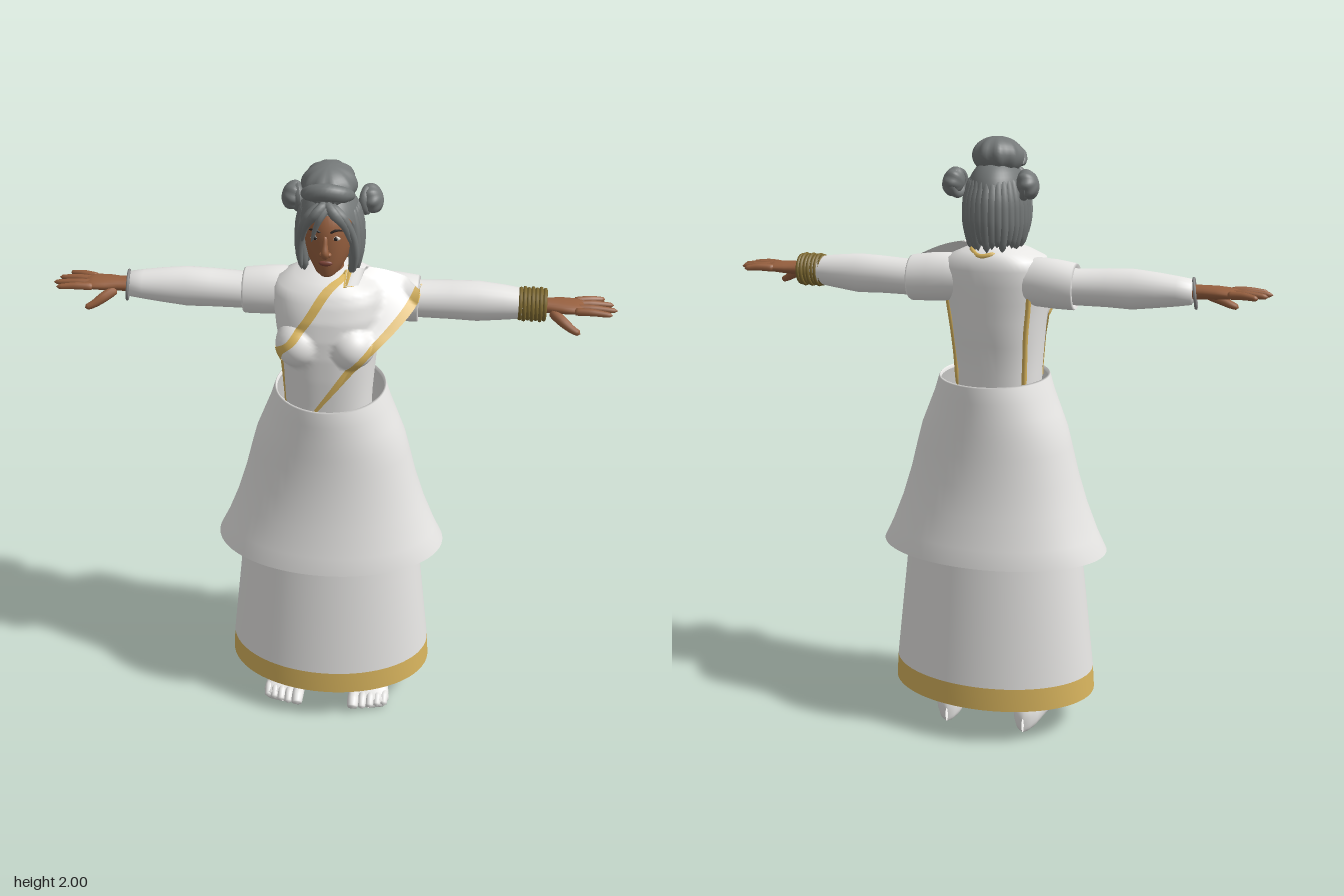
import * as THREE from 'three';

const mat = (name, color, side = THREE.FrontSide) => {
  const m = new THREE.MeshStandardMaterial({ color, side });
  m.name = name;
  return m;
};
const V = (x, y, z) => new THREE.Vector3(x, y, z);
const spow = (c, p) => Math.sign(c) * Math.abs(c) ** (2 / p);
const lerp = THREE.MathUtils.lerp;

// Skin over rings of points that run anticlockwise around the direction of travel
function loft(rings, closed = true) {
  const n = rings[0].length, pos = [], idx = [];
  rings.forEach(r => r.forEach(p => pos.push(p.x, p.y, p.z)));
  for (let i = 0; i < rings.length - 1; i++)
    for (let j = 0; j < (closed ? n : n - 1); j++) {
      const a = i * n + j, b = i * n + (j + 1) % n;
      idx.push(a, b, a + n, b, b + n, a + n);
    }
  const g = new THREE.BufferGeometry();
  g.setAttribute('position', new THREE.Float32BufferAttribute(pos, 3));
  g.setIndex(idx);
  g.computeVertexNormals();
  return g;
}
const ring = (n, f) => Array.from({ length: n }, (_, j) => f(j / n * Math.PI * 2));

// Stack of level ovals: rows of [y, half width, front z, back z], from the bottom up
const ovalPoint = ([y, a, zf, zb], t, p) =>
  V(a * spow(Math.sin(t), p), y, (zf + zb) / 2 + (zf - zb) / 2 * spow(Math.cos(t), p));
const stack = (rows, p = 2, n = 48) => loft(rows.map(r => ring(n, t => ovalPoint(r, t, p))));
// Ovals along x: rows of [x, centre y, centre z, y radius, z radius]
const along = (rows, n = 24) =>
  loft(rows.map(([x, cy, cz, ry, rz]) => ring(n, t => V(x, cy + ry * Math.cos(t), cz + rz * Math.sin(t)))));

// Tapered tube with rounded ends
function strand(points, radii, sides = 8, n = 14) {
  const c = new THREE.CatmullRomCurve3(points.map(p => V(...p)));
  const f = c.computeFrenetFrames(n), rings = [];
  for (let i = 0; i <= n; i++) {
    const t = i / n, k = t * (radii.length - 1), a = Math.min(Math.floor(k), radii.length - 2);
    const r = lerp(radii[a], radii[a + 1], k - a) * Math.sqrt(Math.max(0, 1 - Math.abs(2 * t - 1) ** 12)) + 1e-4;
    const o = c.getPoint(t);
    rings.push(ring(sides, q => o.clone().addScaledVector(f.normals[i], r * Math.cos(q)).addScaledVector(f.binormals[i], r * Math.sin(q))));
  }
  return loft(rings);
}
const ball = (x, y, z, rx, ry, rz, n = 24) =>
  new THREE.SphereGeometry(1, n, Math.ceil(n * 0.7)).scale(rx, ry, rz).translate(x, y, z);
function mirrored(g) {
  const m = g.clone().scale(-1, 1, 1), ix = m.index.array;
  for (let i = 0; i < ix.length; i += 3) [ix[i], ix[i + 1]] = [ix[i + 1], ix[i]];
  m.computeVertexNormals();
  return m;
}

// Torso shape and its front depth, shared with the drape
const TORSO = [[1.0, .135, .17, -.06], [1.24, .14, .18, -.065], [1.34, .148, .188, -.085], [1.42, .155, .192, -.095],
  [1.48, .165, .19, -.1], [1.54, .172, .182, -.108], [1.59, .172, .165, -.11], [1.62, .16, .148, -.105],
  [1.643, .11, .125, -.09], [1.66, .065, .09, -.06], [1.665, .03, .06, -.02]];
const TP = 2.4, BUST = { x: .082, y: 1.45, z: .135, rx: .075, ry: .075, rz: .08 };
function torsoRow(y) {
  const i = Math.max(0, Math.min(TORSO.length - 2, TORSO.findIndex(r => r[0] > y) - 1));
  const k = THREE.MathUtils.clamp((y - TORSO[i][0]) / (TORSO[i + 1][0] - TORSO[i][0]), 0, 1);
  return TORSO[i].map((v, j) => lerp(v, TORSO[i + 1][j], k));
}
function frontZ(x, y) {
  const [, a, zf, zb] = torsoRow(y);
  let z = -1;
  if (Math.abs(x) < a) z = (zf + zb) / 2 + (zf - zb) / 2 * (1 - Math.abs(x / a) ** TP) ** (1 / TP);
  const b = 1 - ((Math.abs(x) - BUST.x) / BUST.rx) ** 2 - ((y - BUST.y) / BUST.ry) ** 2;
  if (b > 0) z = Math.max(z, BUST.z + BUST.rz * Math.sqrt(b));
  const s = 1 - ((y - 1.545) / .08) ** 2;
  if (x > .1 && x < .28 && s > 0) z = Math.max(z, -.02 + .07 * Math.sqrt(s));
  return z;
}

export function createModel() {
  const model = new THREE.Group();
  const D = THREE.DoubleSide;
  const cloth = mat('white cloth', 0xf0efed, D), gold = mat('gold trim', 0xd9b55e, D), hair = mat('grey hair', 0x747878, D);
  const skin = mat('brown skin', 0x97603f), bronze = mat('dark gold', 0x7c6830), silver = mat('silver', 0x8a8a8a);
  const lip = mat('lip', 0x7d4438), dark = mat('dark eye', 0x2b2421), eyeWhite = mat('eye white', 0xe6e0d8);
  const add = (name, geo, m) => {
    const mesh = new THREE.Mesh(geo, m);
    mesh.name = name;
    model.add(mesh);
    return mesh;
  };
  const pair = (name, geo, m) => {
    add(name + 'Left', geo, m);
    add(name + 'Right', mirrored(geo), m);
  };

  // Skirts
  add('overskirt', stack([[.645, .378, .25, -.25], [.64, .386, .257, -.257], [.7, .357, .242, -.242], [.8, .318, .224, -.222],
    [.9, .287, .21, -.207], [1, .262, .205, -.202], [1.06, .246, .205, -.201], [1.12, .222, .205, -.2], [1.18, .198, .205, -.2],
    [1.233, .181, .205, -.2], [1.237, .177, .2, -.196], [1.225, .174, .195, -.192]], 2, 64), cloth);
  add('underskirt', stack([[.21, .347, .246, -.244], [.64, .3, .212, -.21], [1, .25, .195, -.19]], 2, 64), cloth);
  add('hemBand', stack([[.13, .352, .25, -.248], [.21, .347, .246, -.244]], 2, 64), gold);

  // Legs and feet
  pair('leg', loft([[.06, .05, -.06], [.13, .047, -.065], [.3, .055, -.06], [.45, .06, -.05], [.95, .08, 0]].map(([y, r, z]) =>
    ring(20, t => V(.14 + r * Math.sin(t), y, z + r * Math.cos(t))))), cloth);
  pair('foot', loft([[-.122, .004, .05], [-.115, .028, .085], [-.09, .043, .115], [-.05, .05, .135], [0, .052, .125], [.05, .06, .098],
    [.1, .069, .072], [.14, .072, .055], [.165, .06, .042], [.17, .004, .02]].map(([z, w, h]) =>
    ring(24, t => V(.145 + z * .06 + w * Math.cos(t), h * .5 + h * .5 * spow(Math.sin(t), 2.6), z)))), cloth);
  [-.052, -.02, .007, .032, .055].forEach((dx, i) => {
    const r = i ? .0155 : .021, x = .152 + dx, tip = .203 - i * .009;
    pair('toe' + (i + 1), strand([[x, .035, .12], [x, .036, tip - .03], [x, r * .95, tip]], [r, r, r * .85], 10), cloth);
  });

  // Bodice
  add('torso', stack(TORSO, TP), cloth);
  pair('bust', ball(BUST.x, BUST.y, BUST.z, BUST.rx, BUST.ry, BUST.rz), cloth);
  const seam = (name, deg, top) => add(name, strand([1.18, 1.28, 1.38, 1.48, top].map(y =>
    ovalPoint(torsoRow(y), deg * Math.PI / 180, TP).toArray()), [.009, .009], 8, 24), gold);
  seam('sideTrimLeft', 118, 1.56);
  seam('backTrimRight', -132, 1.58);
  add('backNeckTrim', strand([[.06, 1.66, .04], [.06, 1.65, -.05], [.02, 1.635, -.09], [-.03, 1.645, -.08]], [.009, .009]), gold);

  // Diagonal drape from the left shoulder with gold borders
  const upper = new THREE.CatmullRomCurve3([V(.07, 1.668, .03), V(.0, 1.637, .1), V(-.06, 1.55, .15), V(-.105, 1.487, .15),
    V(-.15, 1.44, .1), V(-.146, 1.34, .08), V(-.135, 1.2, .08)]);
  const lower = new THREE.CatmullRomCurve3([V(.285, 1.6, -.01), V(.267, 1.56, .06), V(.205, 1.5, .14), V(.15, 1.455, .19),
    V(.09, 1.385, .19), V(.03, 1.305, .19), V(-.04, 1.21, .18)]);
  const drape = (v0, v1, lift) => loft(Array.from({ length: 61 }, (_, i) => {
    const u = i / 60, a = upper.getPoint(u), b = lower.getPoint(u);
    return Array.from({ length: 21 }, (_, j) => {
      const v = lerp(v0, v1, j / 20), p = a.clone().lerp(b, v);
      p.y += .016 * Math.sin(Math.PI * v) * (1 - u) ** 2;
      p.z = Math.max(p.z, frontZ(p.x, p.y) + .008) + lift;
      return p;
    });
  }).reverse(), false);
  add('drape', drape(0, 1, 0), cloth);
  add('necklineTrim', drape(-.02, .09, .004), gold);
  add('drapeTrim', drape(.91, 1.02, .004), gold);

  // Arms
  pair('capSleeve', along([[.1, 1.55, -.02, .07, .06], [.15, 1.552, -.02, .079, .068], [.21, 1.548, -.02, .079, .07],
    [.272, 1.543, -.021, .075, .069], [.278, 1.543, -.021, .071, .066], [.265, 1.543, -.021, .05, .05]]), cloth);
  pair('longSleeve', along([[.14, 1.55, -.02, .06, .06], [.28, 1.543, -.022, .058, .062], [.38, 1.546, -.02, .061, .062],
    [.46, 1.546, -.02, .064, .06], [.54, 1.547, -.018, .055, .056], [.6, 1.547, -.016, .047, .05], [.645, 1.547, -.014, .04, .044],
    [.65, 1.547, -.014, .02, .02]]), cloth);
  pair('palm', along([[.63, 1.547, -.012, .024, .03], [.68, 1.548, -.01, .022, .032], [.72, 1.549, -.01, .021, .042],
    [.76, 1.549, -.01, .017, .046], [.785, 1.549, -.01, .012, .042], [.79, 1.549, -.01, .002, .01]]), skin);
  [[-.045, -.07, .855], [-.02, -.032, .882], [.006, .006, .892], [.028, .04, .875]].forEach(([z0, z1, x], i) =>
    pair('finger' + (i + 1), strand([[.755, 1.549, z0], [.81, 1.552, (z0 + z1) / 2], [x, 1.548, z1]], [.013, .012, .008], 8), skin));
  pair('thumb', strand([[.685, 1.54, .008], [.725, 1.518, .04], [.755, 1.5, .055], [.78, 1.49, .062]], [.017, .016, .012, .009], 10), skin);

  // Bracelets
  for (let i = 0; i < 7; i++)
    add('bangle' + (i + 1), new THREE.TorusGeometry(.046 + (i % 2) * .003, .0065, 8, 32).rotateY(Math.PI / 2).translate(.592 + i * .0125, 1.547, -.014), bronze);
  add('thinBracelet', new THREE.TorusGeometry(.046, .005, 8, 32).rotateY(Math.PI / 2 + .15).rotateZ(-.12).translate(-.653, 1.543, -.012), silver);

  // Neck, head and face
  add('neck', stack([[1.6, .055, .085, -.045], [1.65, .043, .075, -.03], [1.72, .042, .085, -.03]], 2, 24), skin);
  add('head', stack([[1.668, .006, .1, .07], [1.67, .026, .125, .03], [1.682, .04, .137, .0], [1.72, .061, .141, -.02], [1.76, .072, .144, -.04],
    [1.8, .077, .146, -.05], [1.84, .077, .145, -.055], [1.88, .068, .125, -.05], [1.92, .04, .09, -.02]], 2, 40), skin);
  add('nose', strand([[0, 1.815, .14], [0, 1.785, .15], [0, 1.757, .155], [0, 1.745, .142]], [.006, .008, .013, .01], 10), skin);
  pair('nostril', ball(.011, 1.753, .145, .008, .007, .01, 12), skin);
  add('lips', ball(0, 1.722, .139, .021, .009, .007, 16), lip);
  pair('eye', ball(.031, 1.803, .1365, .014, .007, .005, 16), eyeWhite);
  pair('iris', ball(.031, 1.803, .1395, .006, .0062, .004, 12), dark);
  pair('brow', strand([[.014, 1.823, .145], [.032, 1.83, .139], [.052, 1.822, .122]], [.003, .004, .002], 6), dark);
  pair('ear', ball(.078, 1.775, .03, .01, .03, .018, 16), skin);
  pair('earring', new THREE.TorusGeometry(.013, .003, 6, 16).translate(.079, 1.725, .035), gold);

  // Hair cap, short over the brow and long behind
  const cap = [];
  for (let i = 16; i >= 0; i--)
    cap.push(ring(48, t => {
      const d = Math.abs(t > Math.PI ? t - 2 * Math.PI : t);
      const th = Math.max(.001, i / 16) * THREE.MathUtils.degToRad(62 + 70 * THREE.MathUtils.smoothstep(d, .5, 1.9));
      const k = 1 + .012 * Math.sin(t * 24);
      return V(.094 * k * Math.sin(th) * Math.sin(t), 1.82 + .115 * Math.cos(th), .025 + .125 * k * Math.sin(th) * Math.cos(t));
    }));
  add('hairCap', loft(cap), hair);

  // Hanging locks round the sides and back
  for (let i = 0; i < 21; i++) {
    const t = THREE.MathUtils.degToRad(64 + 232 * i / 20), s = Math.sin(t), c = Math.cos(t), low = 1.655 + .012 * Math.sin(i * 2.3);
    add('lock' + (i + 1), strand([[.075, .09, 1.88], [.088, .116, 1.81], [.09, .12, 1.73], [.078, .105, low]].map(([a, b, y]) =>
      [a * s, y, .02 + b * c]), [.012, .018, .018, .011]), hair);
  }
  // Fringe
  pair('longFringe', strand([[.008, 1.905, .115], [.045, 1.875, .135], [.077, 1.8, .113], [.085, 1.74, .1], [.08, 1.675, .088]],
    [.014, .017, .014, .012, .006]), hair);
  pair('shortFringe', strand([[0, 1.91, .12], [.025, 1.885, .145], [.056, 1.845, .137], [.076, 1.775, .115]], [.013, .016, .012, .005]), hair);
  add('loosePart', strand([[.01, 1.9, .13], [-.012, 1.875, .152], [-.03, 1.835, .15], [-.042, 1.79, .142]], [.011, .011, .008, .003]), hair);

  // Grooved buns: one on the crown and one at each side
  const bun = (r, lobes) => {
    const g = new THREE.SphereGeometry(1, 48, 20), p = g.attributes.position;
    for (let i = 0; i < p.count; i++) {
      const k = 1 + .05 * Math.cos(lobes * Math.atan2(p.getZ(i), p.getX(i))) * Math.hypot(p.getX(i), p.getZ(i));
      p.setXYZ(i, p.getX(i) * k * r[0], p.getY(i) * r[1], p.getZ(i) * k * r[2]);
    }
    g.computeVertexNormals();
    return g;
  };
  add('crownBun', bun([.082, .062, .092], 10).rotateX(.15).translate(0, 1.937, .038), hair);
  add('crownRoll', strand([[-.075, 1.91, .06], [-.045, 1.935, .115], [0, 1.945, .128], [.045, 1.935, .115], [.075, 1.91, .06]],
    [.014, .024, .026, .024, .014], 12, 20), hair);
  pair('sideBun', bun([.046, .034, .046], 8).rotateZ(-Math.PI / 2 + .3).translate(.122, 1.862, -.045), hair);
  pair('bunWrap', new THREE.TorusGeometry(.034, .014, 10, 28).rotateY(Math.PI / 2 - .3).translate(.108, 1.858, -.043), hair);

  return model;
}
